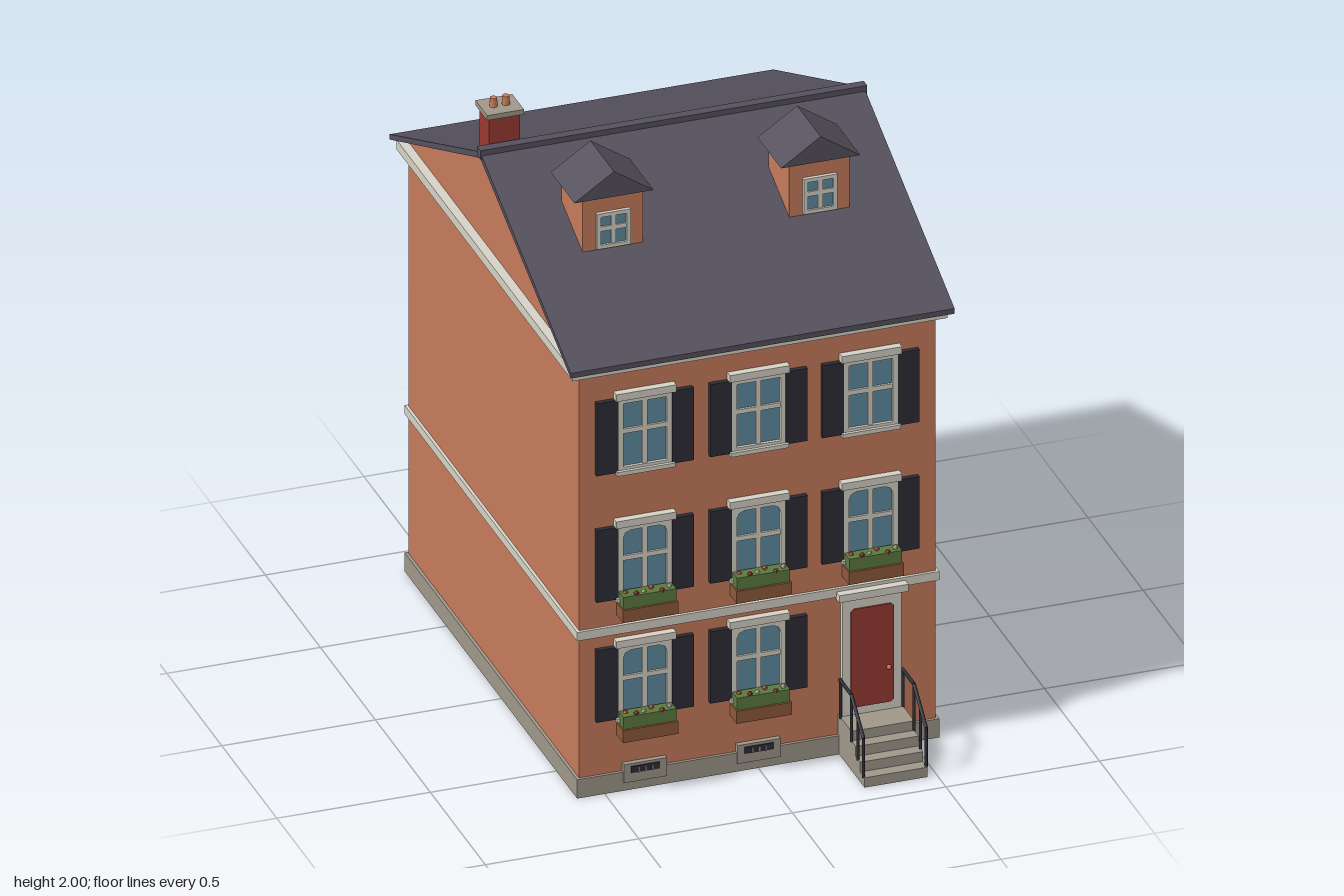
import * as THREE from 'three';

const mat = (name, color) => {
  const m = new THREE.MeshStandardMaterial({ color });
  m.name = name;
  return m;
};

export function createModel() {
  const brick = mat('brick', 0xc67b5c), trim = mat('trim', 0xd6d2c6), slate = mat('slate', 0x55515d);
  const dark = mat('shutter black', 0x2c2d36), glass = mat('glass', 0x5f8ca0), red = mat('door red', 0x983a31);
  const stone = mat('stone', 0x9f978a), leaf = mat('leaf', 0x5c7a3e), wood = mat('wood', 0x8d5a3c);
  const coral = mat('coral', 0xd4694f);
  const house = new THREE.Group();
  house.name = 'townhouse';

  const add = (parent, name, geo, material) => {
    const m = new THREE.Mesh(geo, material);
    m.name = name;
    parent.add(m);
    return m;
  };
  // box given by its limits
  const box = (parent, name, material, x0, x1, y0, y1, z0, z1) => {
    const m = add(parent, name, new THREE.BoxGeometry(x1 - x0, y1 - y0, z1 - z0), material);
    m.position.set((x0 + x1) / 2, (y0 + y1) / 2, (z0 + z1) / 2);
    return m;
  };
  const group = (parent, name, x = 0, y = 0, z = 0) => {
    const g = new THREE.Group();
    g.name = name;
    g.position.set(x, y, z);
    parent.add(g);
    return g;
  };
  const shapeOf = pts => new THREE.Shape(pts.map(p => new THREE.Vector2(...p)));
  const extrude = (shape, depth) => new THREE.ExtrudeGeometry(shape, { depth, bevelEnabled: false });
  // (z, y) profile swept across the width
  const across = (pts, width) => extrude(shapeOf(pts), width).translate(0, 0, -width / 2).rotateY(-Math.PI / 2);
  const FRONT = 0.68, BACK = -0.87, RIDGE = -0.095;

  // walls with gables, base and bands
  add(house, 'walls', across([[BACK, 0.02], [FRONT, 0.02], [FRONT, 1.5], [RIDGE, 1.84], [BACK, 1.5]], 1.16), brick);
  box(house, 'base', stone, -0.59, 0.59, 0, 0.065, -0.88, 0.69);
  box(house, 'beltCourse', trim, -0.59, 0.59, 0.547, 0.577, -0.88, 0.69);
  box(house, 'cornice', trim, -0.61, 0.61, 1.462, 1.495, -0.895, 0.705);

  // main roof
  add(house, 'roof', across([[0.73, 1.487], [0.73, 1.505], [RIDGE, 1.86], [-0.92, 1.505], [-0.92, 1.487],
    [RIDGE, 1.838]], 1.25), slate);
  box(house, 'ridgeCap', slate, -0.63, 0.63, 1.842, 1.872, RIDGE - 0.016, RIDGE + 0.016);

  // framed opening with glazing bars, origin at bottom centre on the wall
  const sash = (g, w, h, border, cut, depth) => {
    const a = w / 2, b = a - border, t = h - border;
    const frame = shapeOf([[-a, 0], [a, 0], [a, h], [-a, h]]);
    frame.holes.push(new THREE.Path([[-b, border], [-b, t - cut], [-b + cut * 0.3, t - cut * 0.3], [-b + cut, t],
      [b - cut, t], [b - cut * 0.3, t - cut * 0.3], [b, t - cut], [b, border]].map(p => new THREE.Vector2(...p))));
    add(g, 'frame', extrude(frame, depth), trim);
    box(g, 'glass', glass, -b, b, border, t, 0, 0.005);
    box(g, 'mullion', trim, -0.008, 0.008, border, t, 0, depth * 0.8);
    box(g, 'glazingBar', trim, -b, b, h * 0.55 - 0.008, h * 0.55 + 0.008, 0, depth * 0.8);
  };

  const flowerBox = g => {
    box(g, 'planter', wood, -0.09, 0.09, -0.058, -0.015, 0.005, 0.065);
    box(g, 'foliage', leaf, -0.086, 0.086, -0.015, 0.027, 0.012, 0.058);
    for (let i = 0; i < 6; i++) {
      const f = add(g, 'flower', new THREE.IcosahedronGeometry(0.009), [coral, red, trim][i % 3]);
      f.position.set(-0.07 + i * 0.028, 0.027 + (i % 2) * 0.005, 0.03 + (i * 2 % 3) * 0.011);
    }
  };

  // shuttered windows: [sill height, frame height, flower box, curved head]
  const columns = [-0.37, 0, 0.365];
  [[1.112, 0.252, false, 0.004], [0.672, 0.25, true, 0.025], [0.255, 0.25, true, 0.025]].forEach(([y, h, planted, cut], row) => {
    columns.slice(0, row === 2 ? 2 : 3).forEach(x => {
      const g = group(house, 'window', x, y, FRONT);
      sash(g, 0.175, h, 0.016, cut, 0.015);
      box(g, 'lintel', trim, -0.098, 0.098, h, h + 0.025, 0, 0.025);
      box(g, 'sill', trim, -0.095, 0.095, -0.008, 0.006, 0, 0.025);
      for (const s of [-1, 1]) {
        const sh = group(g, 'shutter', s * 0.123, 0, 0);
        box(sh, 'shutterPanel', dark, -0.035, 0.035, 0, h, 0, 0.016);
      }
      if (planted) flowerBox(g);
    });
  });

  // basement vents
  columns.slice(0, 2).forEach(x => {
    const g = group(house, 'basementVent', x, 0, 0.685);
    box(g, 'ventSurround', stone, -0.07, 0.07, 0.03, 0.094, -0.01, 0.012);
    box(g, 'ventOpening', dark, -0.047, 0.047, 0.062, 0.085, 0.01, 0.015);
    for (let i = -1; i <= 1; i++) box(g, 'ventBar', stone, i * 0.022 - 0.002, i * 0.022 + 0.002, 0.062, 0.08, 0.012, 0.018);
  });

  // front door
  const door = group(house, 'door', 0.367, 0.13, FRONT);
  box(door, 'doorFrame', trim, -0.096, 0.096, 0, 0.411, 0, 0.02);
  box(door, 'doorHead', trim, -0.113, 0.113, 0.411, 0.436, 0, 0.037);
  add(door, 'doorLeaf', extrude(shapeOf([[-0.06, 0.032], [0.06, 0.032], [0.07, 0.042], [0.07, 0.363], [0.06, 0.373],
    [-0.06, 0.373], [-0.07, 0.363], [-0.07, 0.042]]), 0.006).translate(0, 0, 0.019), red);
  add(door, 'knob', new THREE.SphereGeometry(0.008, 12, 8), coral).position.set(0.052, 0.155, 0.03);

  // stoop and steps
  const stoop = group(house, 'stoop', 0.366, 0, 0);
  add(stoop, 'steps', across([[0.68, 0], [0.92, 0], [0.92, 0.034], [0.88, 0.034], [0.88, 0.068], [0.84, 0.068],
    [0.84, 0.102], [0.8, 0.102], [0.8, 0.135], [0.68, 0.135]], 0.205), stone);

  // railings
  const bar = (x, z0, y0, z1, y1, r) => {
    const m = add(stoop, 'railing', new THREE.CylinderGeometry(r, r, Math.hypot(z1 - z0, y1 - y0), 8), dark);
    m.position.set(x, (y0 + y1) / 2, (z0 + z1) / 2);
    m.rotation.x = Math.atan2(z1 - z0, y1 - y0);
  };
  for (const x of [-0.102, 0.102]) {
    bar(x, 0.695, 0.262, 0.8, 0.262, 0.006);
    bar(x, 0.8, 0.262, 0.91, 0.166, 0.006);
    [[0.7, 0.13, 0.262], [0.8, 0.1, 0.262], [0.858, 0.065, 0.21], [0.91, 0.03, 0.166]]
      .forEach(([z, y0, y1]) => bar(x, z, y0, z, y1, 0.005));
  }

  // dormers
  for (const x of [-0.34, 0.333]) {
    const g = group(house, 'dormer', x, 0, 0);
    box(g, 'dormerWalls', brick, -0.098, 0.098, 1.682, 1.868, 0.125, 0.315);
    add(g, 'dormerRoof', extrude(shapeOf([[-0.129, 1.865], [0.129, 1.865], [0, 1.952]]), 0.215).translate(0, 0, 0.112), slate);
    sash(group(g, 'dormerWindow', 0, 1.69, 0.315), 0.11, 0.123, 0.013, 0.003, 0.012);
  }

  // chimney
  const chimney = group(house, 'chimney', -0.535, 0, -0.168);
  box(chimney, 'stack', red, -0.05, 0.05, 1.78, 1.955, -0.043, 0.043);
  box(chimney, 'chimneyCap', stone, -0.06, 0.06, 1.953, 1.97, -0.053, 0.053);
  for (const s of [-1, 1]) {
    add(chimney, 'pot', new THREE.CylinderGeometry(0.011, 0.013, 0.032, 12), brick).position.set(s * 0.02, 1.984, 0);
  }
  return house;
}
